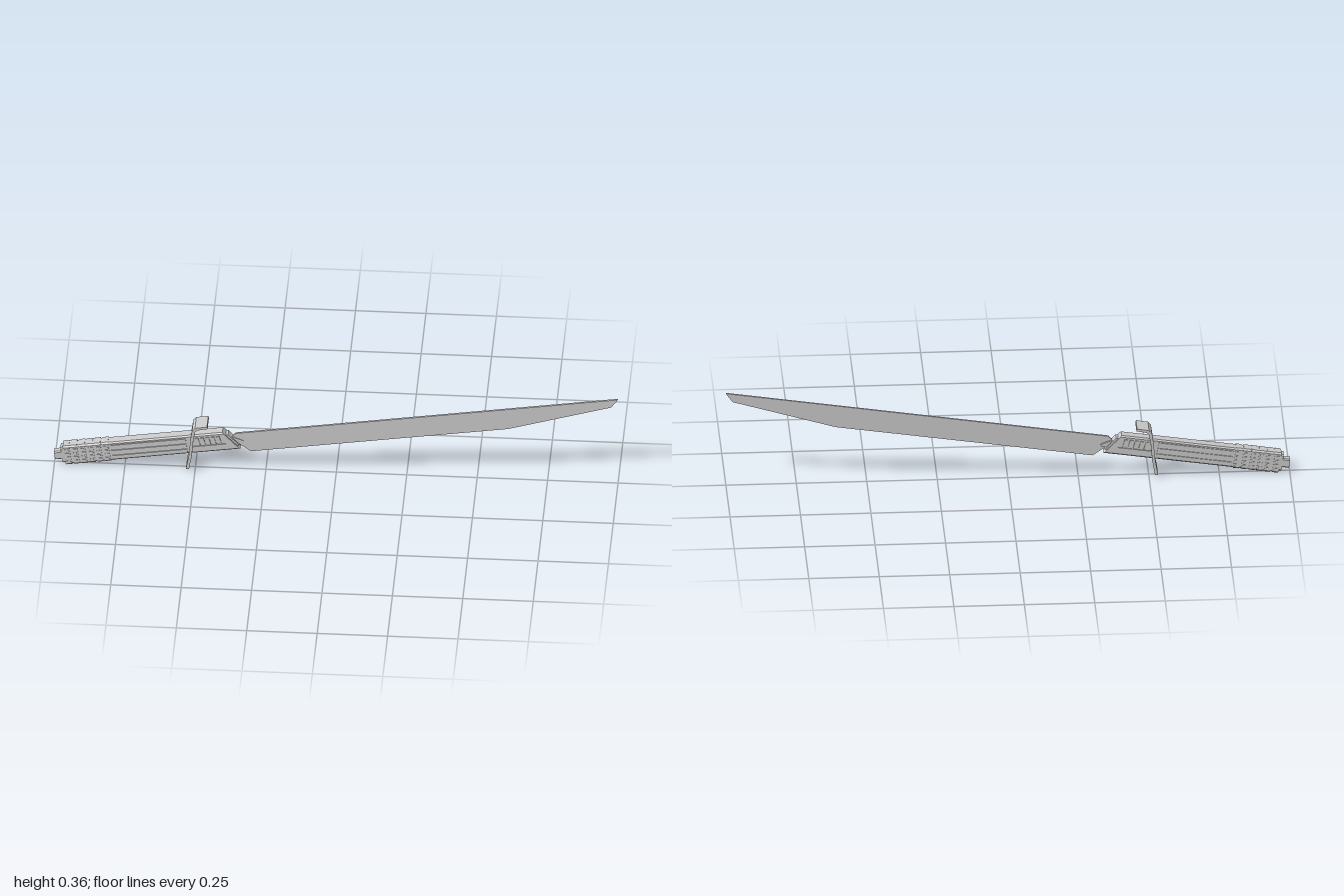
import * as THREE from 'three';

const mat = new THREE.MeshStandardMaterial({ color: 0xcccccc, flatShading: true });

function add(parent, name, geo, x = 0, y = 0, z = 0) {
  const m = new THREE.Mesh(geo, mat);
  m.name = name;
  m.position.set(x, y, z);
  parent.add(m);
  return m;
}

// flat side profile given thickness t, centred on z = 0
function plate(points, t) {
  const s = new THREE.Shape(points.map(p => new THREE.Vector2(...p)));
  return new THREE.ExtrudeGeometry(s, { depth: t, bevelEnabled: false }).translate(0, 0, -t / 2);
}

// chamfered bar along +x; the far end is cut back by "slant" at the top
function bar(length, halfH, halfW, chamfer, slant = 0) {
  const h = halfH, w = halfW, c = chamfer;
  const s = new THREE.Shape([
    [w - c, -h], [w, -h + c], [w, h - c], [w - c, h],
    [c - w, h], [-w, h - c], [-w, c - h], [c - w, -h],
  ].map(p => new THREE.Vector2(...p)));
  const g = new THREE.ExtrudeGeometry(s, { depth: length, bevelEnabled: false }).rotateY(Math.PI / 2);
  const p = g.attributes.position;
  for (let i = 0; i < p.count; i++) {
    if (p.getX(i) > length / 2) p.setX(i, length - slant * (p.getY(i) + h) / (2 * h));
  }
  g.computeVertexNormals();
  return g;
}

export function createModel() {
  const sword = new THREE.Group();
  sword.name = 'sword';

  // blade with straight spine and angled tip
  add(sword, 'blade', plate([
    [-0.377, 0.139], [-0.302, 0.086], [0.61, 0.225], [0.976, 0.335], [1, 0.369], [-0.356, 0.16],
  ], 0.007), 0, 0, 0.0025);

  // hilt is built along its own axis, then tilted in line with the blade
  const hilt = new THREE.Group();
  hilt.name = 'hilt';
  hilt.position.set(-0.965, 0.045, 0);
  hilt.rotation.z = 0.152;
  sword.add(hilt);

  add(hilt, 'handleCore', bar(0.627, 0.038, 0.0205, 0.005, 0.053));
  add(hilt, 'pommel', bar(0.04, 0.017, 0.014, 0.004), -0.035, -0.002);
  add(hilt, 'pommelCap', bar(0.012, 0.032, 0.018, 0.005), -0.009);

  // raised rings around the rear of the grip
  for (let i = 0; i < 6; i++) {
    add(hilt, 'gripRing', bar(0.021, 0.04, 0.023, 0.006), 0.002 + i * 0.028);
  }

  // side details, mirrored
  for (const s of [1, -1]) {
    for (let j = 0; j < 3; j++) {
      add(hilt, 'gripRidge', new THREE.BoxGeometry(0.27, 0.012, 0.004), 0.305, -0.022 + j * 0.022, s * 0.0215);
    }
    // small studs on the rings
    for (let i = 0; i < 6; i++) for (let j = 0; j < 4; j++) {
      add(hilt, 'gripStud', new THREE.BoxGeometry(0.012, 0.008, 0.003), 0.0125 + i * 0.028, -0.024 + j * 0.016, s * 0.0235);
    }
    // slanted vent ribs in front of the guard
    for (let i = 0; i < 5; i++) {
      const x = 0.478 + i * 0.019;
      add(hilt, 'ventRib', plate([
        [x, -0.004], [x + 0.011, -0.004], [x + 0.007, 0.026], [x - 0.004, 0.026],
      ], 0.005), 0, 0, s * 0.0215);
    }
    add(hilt, 'ventSill', new THREE.BoxGeometry(0.12, 0.005, 0.005), 0.52, -0.01, s * 0.0215);
  }

  // stepped collar that holds the blade
  add(hilt, 'collar', plate([[0.55, -0.024], [0.625, -0.024], [0.592, 0.024], [0.55, 0.024]], 0.03));
  add(hilt, 'tang', plate([[0.58, -0.012], [0.636, -0.02], [0.642, -0.012], [0.6, 0.012], [0.58, 0.012]], 0.016));

  // guard: slanted plate with a lip bent forward over the top
  add(hilt, 'guard', plate([
    [0.424, -0.092], [0.435, -0.094], [0.453, -0.04], [0.47, 0.03], [0.481, 0.062], [0.49, 0.068],
    [0.527, 0.07], [0.526, 0.079], [0.483, 0.078], [0.471, 0.069], [0.459, 0.03], [0.442, -0.04],
  ], 0.07));

  return sword;
}
